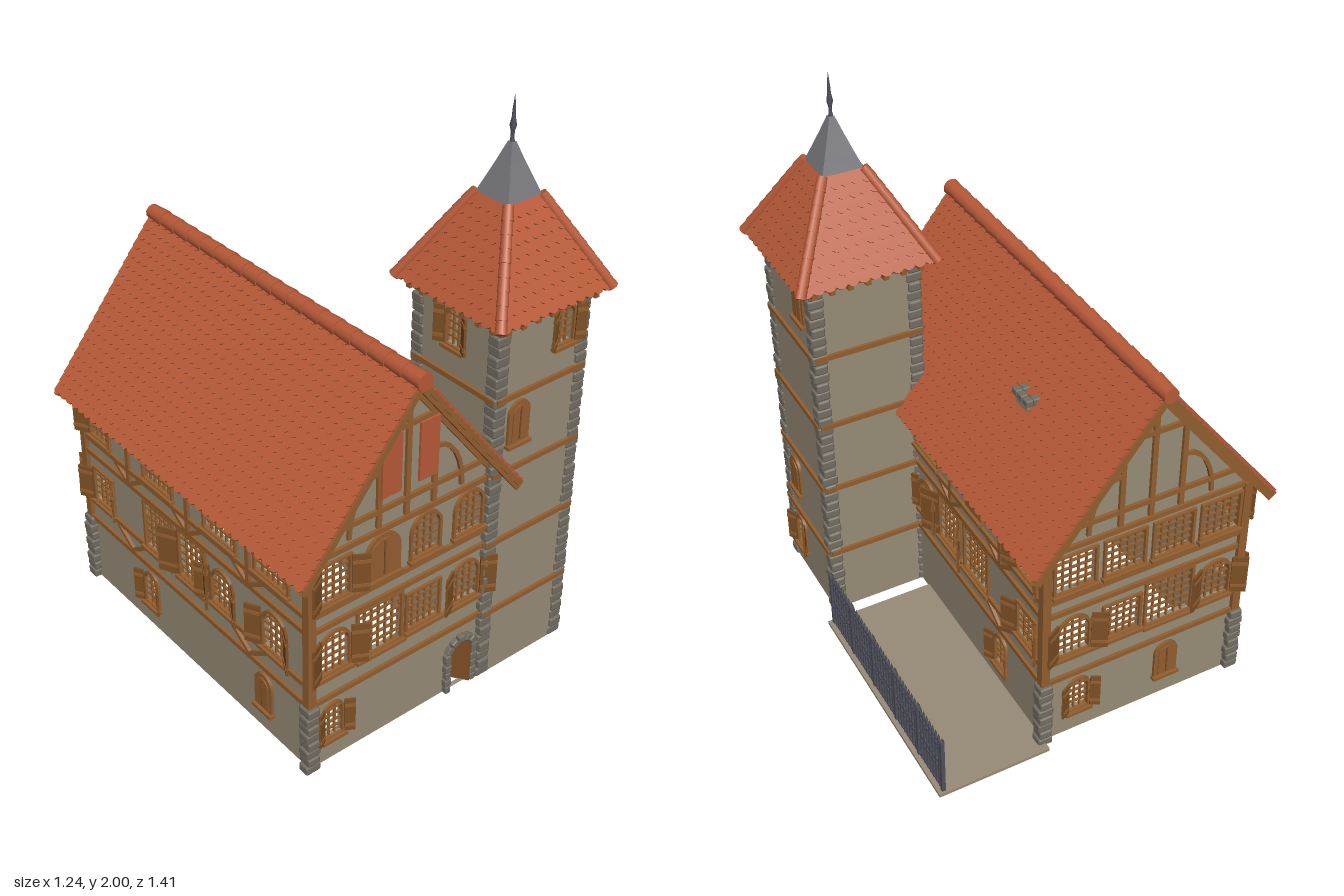
import * as THREE from 'three';
import { RoundedBoxGeometry } from 'three/addons/geometries/RoundedBoxGeometry.js';

const mat = (name, color) => {
  const m = new THREE.MeshStandardMaterial({ color });
  m.name = name;
  return m;
};
const plaster = mat('plaster', 0x988c77), timber = mat('timber', 0x935f30), wood = mat('dark wood', 0x7d4f24);
const tile = mat('roof tile', 0xb85a38), stone = mat('stone', 0x746e62), lead = mat('lead', 0x77777d), iron = mat('iron', 0x50515c);

let seed = 7;
const rnd = () => (seed = (seed * 16807) % 2147483647) / 2147483647;

function add(parent, name, geo, m, x = 0, y = 0, z = 0) {
  const mesh = new THREE.Mesh(geo, m);
  mesh.name = name;
  mesh.position.set(x, y, z);
  parent.add(mesh);
  return mesh;
}
function group(parent, name, x = 0, y = 0, z = 0, ry = 0) {
  const g = new THREE.Group();
  g.name = name;
  g.position.set(x, y, z);
  g.rotation.y = ry;
  parent.add(g);
  return g;
}
const box = (p, name, m, w, h, d, x, y, z) => add(p, name, new THREE.BoxGeometry(w, h, d), m, x, y, z);
const extrude = (shape, depth) => new THREE.ExtrudeGeometry(shape, { depth, bevelEnabled: false, curveSegments: 8 });

// straight bar in the plane of a facade
function beam(p, name, m, x0, y0, x1, y1, t = 0.018, d = 0.014, z = 0.004) {
  const b = box(p, name, m, Math.hypot(x1 - x0, y1 - y0), t, d, (x0 + x1) / 2, (y0 + y1) / 2, z);
  b.rotation.z = Math.atan2(y1 - y0, x1 - x0);
}
// rectangular or round-headed opening
function opening(path, u, v, w, h, arch) {
  const r = w / 2;
  path.moveTo(u - r, v).lineTo(u + r, v);
  if (arch) path.lineTo(u + r, v + h - r).absarc(u, v + h - r, r, 0, Math.PI, false);
  else path.lineTo(u + r, v + h).lineTo(u - r, v + h);
  path.lineTo(u - r, v);
  return path;
}

function windowPart(p, [u, v, w, h, type, shutters]) {
  const arch = type !== 'l', r = w / 2, g = group(p, type === 'd' ? 'doorway' : 'window');
  if (type === 'd') {
    // stone surround and a leaf standing ajar
    for (const s of [-1, 1]) for (let i = 0; i < 5; i++)
      add(g, 'doorStone', new RoundedBoxGeometry(0.022 + 0.006 * (i % 2), 0.029, 0.04, 1, 0.005), stone, u + s * (r + 0.006), 0.015 + i * 0.03, 0);
    for (let i = 0; i <= 6; i++) {
      const a = i * Math.PI / 6, k = r + 0.008;
      add(g, 'archStone', new RoundedBoxGeometry(0.026, 0.028, 0.04, 1, 0.005), stone, u + Math.cos(a) * k, v + h - r + Math.sin(a) * k, 0).rotation.z = a;
    }
    const leaf = group(g, 'doorLeaf', u + r, 0, 0.01, -0.95);
    add(leaf, 'doorBoards', extrude(opening(new THREE.Shape(), -r, 0, w, h, true), 0.01), wood);
    return;
  }
  const rim = opening(new THREE.Shape(), u, v - 0.008, w + 0.02, h + 0.016 + (arch ? 0.002 : 0), arch);
  if (type !== 'p') rim.holes.push(opening(new THREE.Path(), u, v, w, h, arch));
  add(g, 'windowFrame', extrude(rim, 0.022), timber, 0, 0, -0.012);
  if (type === 'p') {
    add(g, 'windowPanel', extrude(opening(new THREE.Shape(), u, v + 0.004, w - 0.01, h - 0.01, true), 0.006), timber, 0, 0, 0.008);
    beam(g, 'panelJoint', wood, u, v + 0.01, u, v + h - 0.012, 0.005, 0.006, 0.014);
  } else {
    // glazing bars, cut to the arch
    const nx = Math.max(3, Math.round(w / 0.028)), ny = Math.round(h / 0.028), spring = h - r;
    for (let i = 1; i < nx; i++) {
      const x = -r + w * i / nx, top = arch ? spring + Math.sqrt(r * r - x * x) : h;
      beam(g, 'glazingBar', timber, u + x, v, u + x, v + top, 0.006, 0.008, -0.004);
    }
    for (let i = 1; i < ny; i++) {
      const y = h * i / ny, k = arch && y > spring ? Math.sqrt(r * r - (y - spring) ** 2) : r;
      beam(g, 'glazingBar', timber, u - k, v + y, u + k, v + y, 0.006, 0.008, -0.004);
    }
  }
  box(g, 'sill', timber, w + 0.03, 0.012, 0.03, u, v - 0.01, 0.006);
  if (shutters) for (const s of [-1, 1]) {
    const sh = group(g, 'shutter', u + s * (r + 0.006), v + h / 2, 0.012, -s * 0.5);
    box(sh, 'shutterBoard', wood, r, h, 0.008, s * r / 2, 0, 0);
    for (const y of [-0.32, 0.32]) box(sh, 'shutterBatten', timber, r, 0.012, 0.013, s * r / 2, y * h, 0);
  }
}

// wall with openings, windows and horizontal beams; outer face at local z = 0
function facade(parent, name, x, z, ry, outline, windows, bands) {
  const g = group(parent, name, x, 0, z, ry);
  const shape = new THREE.Shape(outline.map(([a, b]) => new THREE.Vector2(a, b)));
  for (const [u, v, w, h, type] of windows)
    if (type !== 'p') shape.holes.push(opening(new THREE.Path(), u, v + (type === 'd' ? 0.001 : 0), w, h, type !== 'l'));
  add(g, 'wall', extrude(shape, 0.016), plaster, 0, 0, -0.016);
  windows.forEach(w => windowPart(g, w));
  for (const v of bands) beam(g, 'horizontalBeam', timber, outline[0][0], v, outline[1][0], v);
  return g;
}

function quoins(parent, x, z, top) {
  const n = Math.round(top / 0.036), h = top / n, g = group(parent, 'cornerStones', x, 0, z);
  for (let i = 0; i < n; i++) {
    const a = 0.044 + rnd() * 0.006, b = 0.052 + rnd() * 0.006;
    add(g, 'cornerStone', new RoundedBoxGeometry(i % 2 ? a : b, h * 0.96, i % 2 ? b : a, 1, 0.007), stone, 0, (i + 0.5) * h, 0);
  }
}

// overlapping rows of scalloped tiles on a sloping panel; origin at the middle of the eave
function tileSlope(parent, x, y, z, ry, w0, w1, len, rows, pitch) {
  const g = group(group(parent, 'roofSide', x, y, z, ry), 'slope');
  g.rotation.x = pitch - Math.PI / 2;
  const deck = [[-w0 / 2, 0.01], [w0 / 2, 0.01], [w1 / 2, len], [-w1 / 2, len]].map(q => new THREE.Vector2(...q));
  add(g, 'roofDeck', extrude(new THREE.Shape(deck), 0.012), timber, 0, 0, -0.014);
  const step = len / rows;
  for (let i = 0; i < rows; i++) {
    const at = k => (w0 + (w1 - w0) * k / rows) / 2, a = at(i), b = at(Math.min(rows, i + 1.2));
    const n = Math.max(3, Math.round(a * 2 / 0.038)), s = new THREE.Shape();
    s.moveTo(b, step * 1.2).lineTo(-b, step * 1.2);
    for (let k = 0; k < n; k++) for (const [t, d] of [[0, 0.01], [0.25, 0.002], [0.5, 0], [0.75, 0.002]])
      s.lineTo(-a + 2 * a * (k + t) / n, d);
    s.lineTo(a, 0.01);
    add(g, 'tileRow', extrude(s, 0.008), tile, 0, i * step, 0.006).rotation.x = -0.12;
  }
}

// chain of tapered ridge tiles from a to b
function ridge(parent, a, b, n, r) {
  const p = new THREE.Vector3(...a), q = new THREE.Vector3(...b), dir = q.clone().sub(p);
  const geo = new THREE.CylinderGeometry(r * 0.85, r, dir.length() / n * 1.12, 10);
  for (let i = 0; i < n; i++) {
    const m = add(parent, 'ridgeTile', geo, tile);
    m.position.copy(p).addScaledVector(dir, (i + 0.5) / n);
    m.quaternion.setFromUnitVectors(new THREE.Vector3(0, 1, 0), dir.clone().normalize());
  }
}

function gableTimbers(g, cx, banners) {
  beam(g, 'gableBeam', timber, cx - 0.33, 0.9, cx + 0.33, 0.9);
  beam(g, 'collarBeam', timber, cx - 0.12, 1.165, cx + 0.12, 1.165);
  beam(g, 'kingPost', timber, cx, 0.84, cx, 1.3);
  for (const s of [-1, 1]) {
    beam(g, 'gablePost', timber, cx + s * 0.11, 0.84, cx + s * 0.11, 1.165);
    beam(g, 'wallRafter', timber, cx + s * 0.37, 0.83, cx, 1.3, 0.022);
    for (let i = 0; i < 6; i++) {
      const pt = k => [cx + s * (0.115 + 0.11 * Math.sin(k * Math.PI / 12)), 0.85 + 0.19 * Math.cos(k * Math.PI / 12)];
      beam(g, 'curvedBrace', timber, ...pt(i), ...pt(i + 1), 0.014);
    }
    beam(g, 'bargeBoard', timber, cx + s * 0.435, 0.775, cx, 1.325, 0.036, 0.014, 0.05);
    if (banners) box(g, 'banner', tile, 0.075, 0.21, 0.008, cx + s * 0.073, 1.055, 0.016);
  }
}

function house(root) {
  const g = group(root, 'house'), bands = [0.27, 0.35, 0.56, 0.62, 0.825];
  const gable = (l, r, c) => [[l, 0], [r, 0], [r, 0.84], [c, 1.31], [l, 0.84]];
  const rect = (l, r) => [[l, 0], [r, 0], [r, 0.84], [l, 0.84]];
  const flip = list => list.map(([u, ...rest]) => [-u, ...rest]);
  const middle = [[-0.445, 0.37, 0.11, 0.15, 'a', 1], [-0.265, 0.36, 0.17, 0.18, 'l'], [-0.085, 0.37, 0.13, 0.14, 'l'], [0.095, 0.37, 0.11, 0.15, 'a', 1]];
  const front = facade(g, 'frontWall', 0, 0.63, 0, gable(-0.54, 0.2, -0.17), [...middle,
    [-0.45, 0.1, 0.07, 0.13, 'a', 1], [0.09, 0, 0.1, 0.2, 'd'], [-0.445, 0.65, 0.11, 0.14, 'l', 1],
    [-0.26, 0.65, 0.12, 0.15, 'p'], [-0.085, 0.65, 0.11, 0.15, 'a'], [0.095, 0.65, 0.11, 0.15, 'a']], bands);
  gableTimbers(front, -0.17, true);
  const back = facade(g, 'backWall', 0, -0.63, Math.PI, gable(-0.2, 0.54, 0.17), [...flip(middle),
    [-0.07, 0.1, 0.07, 0.13, 'a', 1], [0.27, 0.1, 0.07, 0.13, 'p'],
    ...[-0.095, 0.085, 0.265, 0.445].map(u => [u, 0.65, 0.14, 0.14, 'l'])], bands);
  gableTimbers(back, 0.17, false);
  const side = [[-0.185, 0.37, 0.11, 0.14, 'a', 1], [-0.015, 0.36, 0.14, 0.18, 'l', 1], [0.18, 0.36, 0.16, 0.18, 'l'],
    [0.525, 0.37, 0.11, 0.13, 'l', 1], [-0.18, 0.65, 0.16, 0.14, 'l'], [0.525, 0.65, 0.11, 0.14, 'l', 1]];
  const right = facade(g, 'rightWall', 0.2, 0, Math.PI / 2, rect(-0.27, 0.63),
    [...side, [0.17, 0.65, 0.09, 0.13, 'p'], [0.35, 0.1, 0.07, 0.13, 'a', 1]], bands);
  const left = facade(g, 'leftWall', -0.54, 0, -Math.PI / 2, rect(-0.63, 0.63), [...flip(side),
    [0.46, 0.37, 0.11, 0.15, 'a', 1], [0.45, 0.65, 0.16, 0.14, 'l'], [-0.17, 0.65, 0.16, 0.14, 'l'],
    [0.4, 0.1, 0.07, 0.13, 'p'], [-0.25, 0.1, 0.07, 0.13, 'a', 1]], bands);
  // posts and V braces on the long walls
  for (const [w, us] of [[right, [0, 0.35]], [left, [-0.35, 0, 0.33]]]) for (const u of us) {
    beam(w, 'post', timber, u, 0.56, u, 0.825);
    for (const s of [-1, 1]) for (const v of u ? [0.56, 0.28] : [0.56])
      beam(w, 'brace', timber, u, v, u + s * 0.09, v + 0.06, 0.014);
  }
  for (const [x, z] of [[-0.54, 0.63], [-0.54, -0.63], [0.2, -0.63]]) {
    quoins(g, x, z, 0.27);
    box(g, 'cornerPost', timber, 0.03, 0.56, 0.03, x, 0.55, z);
  }
  // main roof
  const run = 0.44, rise = 0.555, len = Math.hypot(run, rise), pitch = Math.atan2(rise, run);
  for (const s of [-1, 1]) tileSlope(g, -0.17 + s * run, 0.785, 0, s * Math.PI / 2, 1.38, 1.38, len, 20, pitch);
  ridge(g, [-0.17, 1.338, 0.695], [-0.17, 1.338, -0.695], 18, 0.031);
  // chimney with an open ring of capping stones
  for (const [w, d, x, z] of [[0.06, 0.015, 0.03, -0.192], [0.06, 0.015, 0.03, -0.253], [0.015, 0.07, 0.0075, -0.222], [0.015, 0.07, 0.0525, -0.222]])
    box(g, 'chimneyWall', plaster, w, 0.11, d, x, 1.05, z);
  for (const x of [0.006, 0.03, 0.056]) for (const z of [-0.256, -0.222, -0.189])
    if (x !== 0.03 || z !== -0.222) add(g, 'chimneyStone', new RoundedBoxGeometry(0.026, 0.024, 0.032, 1, 0.005), stone, x, 1.107, z);
}

function tower(root) {
  const g = group(root, 'tower', 0.36, 0, 0.457), h = 0.19, bands = [0.27, 0.56, 0.83, 1.105, 1.365];
  const out = [[-h, 0], [h, 0], [h, 1.38], [-h, 1.38]];
  facade(g, 'towerFront', 0, h, 0, out, [[-0.09, 0.93, 0.07, 0.14, 'p'], [0.085, 1.22, 0.07, 0.13, 'a', 1]], bands);
  facade(g, 'towerRight', h, 0, Math.PI / 2, out,
    [[0.097, 1.215, 0.07, 0.135, 'p'], [-0.083, 0.375, 0.07, 0.13, 'p'], [-0.08, 0.1, 0.07, 0.13, 'a', 1]], bands);
  facade(g, 'towerBack', 0, -h, Math.PI, out, [], bands);
  facade(g, 'towerLeft', -h, 0, -Math.PI / 2, out, [[0, 1.22, 0.07, 0.13, 'a', 1]], bands);
  for (const x of [-1, 1]) for (const z of [-1, 1]) {
    quoins(g, x * 0.172, z * 0.172, 1.37);
    ridge(g, [x * 0.237, 1.385, z * 0.237], [x * 0.07, 1.685, z * 0.07], 9, 0.019);
  }
  const run = 0.163, rise = 0.3, c = 0.233;
  for (let i = 0; i < 4; i++) {
    const a = i * Math.PI / 2, s = Math.sin(a), k = Math.cos(a);
    tileSlope(g, s * c, 1.375, k * c, a, 2 * c, 0.14, Math.hypot(run, rise), 9, Math.atan2(rise, run));
    // rafter ends below the eave
    for (let j = -3; j <= 3; j++) box(group(g, 'rafterEnds', 0, 0, 0, a), 'rafterEnd', timber, 0.018, 0.022, 0.04, j * 0.062, 1.366, 0.205);
  }
  // lead cap and finial
  const cap = new THREE.LatheGeometry([[0.106, 1.67], [0.074, 1.73], [0.042, 1.79], [0.012, 1.85]].map(q => new THREE.Vector2(...q)), 4, Math.PI / 4).toNonIndexed();
  cap.computeVertexNormals();
  add(g, 'leadCap', cap, lead);
  add(g, 'finial', new THREE.LatheGeometry([[0.012, 1.83], [0.006, 1.86], [0.006, 1.88], [0.011, 1.9], [0.006, 1.925], [0.005, 1.95], [0, 2]].map(q => new THREE.Vector2(...q)), 8), iron);
}

function yard(root) {
  const g = group(root, 'yard');
  box(g, 'yardSlab', plaster, 0.405, 0.012, 0.89, 0.4025, 0.006, -0.235);
  const fence = group(g, 'fence', 0.585, 0, -0.235);
  for (const y of [0.02, 0.095, 0.125, 0.2, 0.225]) box(fence, 'rail', iron, 0.008, 0.007, 0.87, 0, y, 0);
  for (let i = 0; i <= 40; i++) {
    const z = -0.43 + i * 0.0215, post = i % 8 === 0, t = post ? 0.013 : 0.007;
    box(fence, post ? 'post' : 'picket', iron, t, 0.24, t, 0, 0.12, z);
    add(fence, 'spearhead', new THREE.ConeGeometry(t * 0.75, 0.022, 4), iron, 0, 0.246, z);
    if (!post) add(fence, 'scroll', new THREE.TorusGeometry(0.009, 0.002, 4, 8), iron, 0, i % 2 ? 0.11 : 0.18, z).rotation.y = Math.PI / 2;
  }
}

export function createModel() {
  const root = new THREE.Group();
  root.name = 'townHouse';
  house(root);
  tower(root);
  yard(root);
  return root;
}
